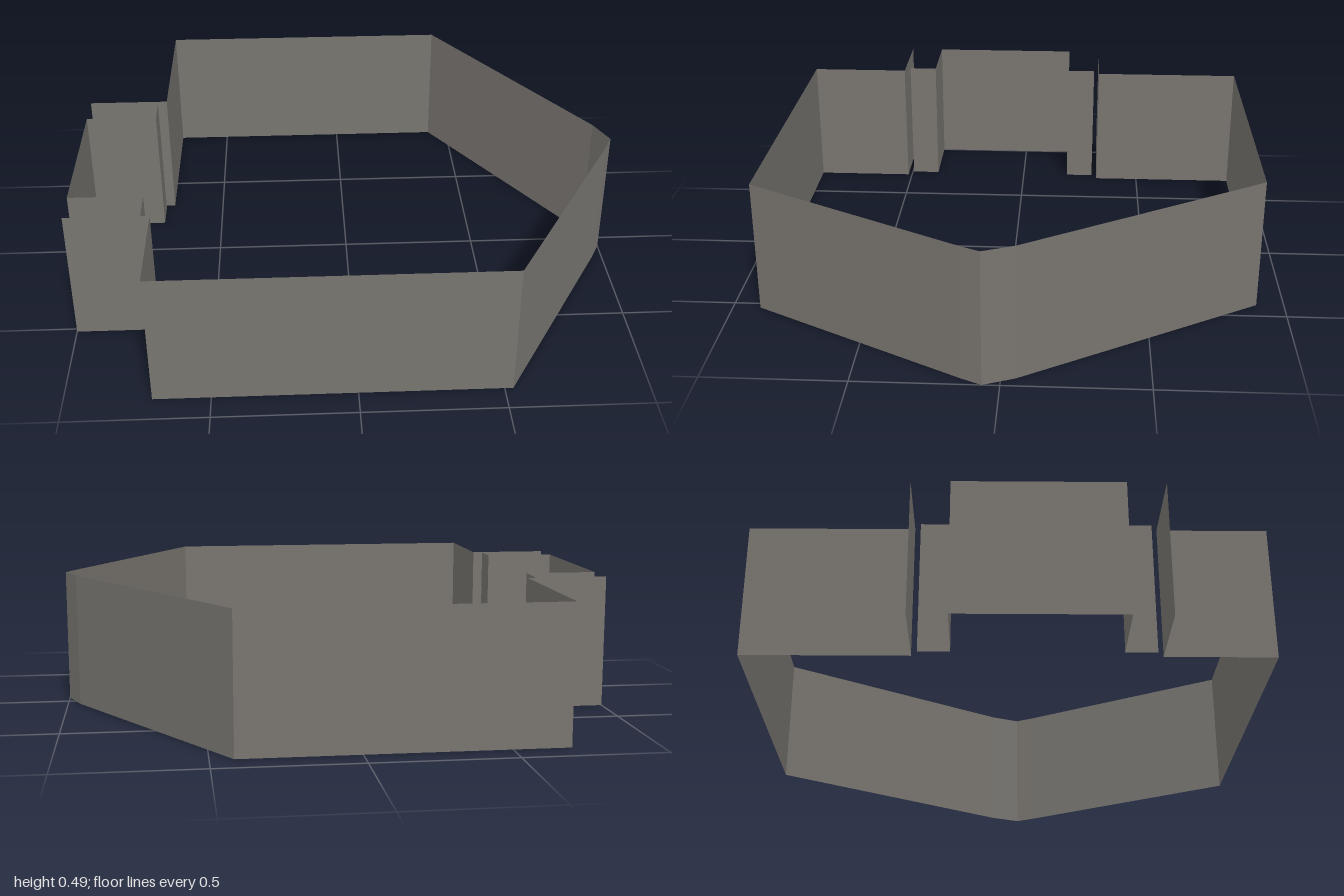
import * as THREE from 'three';

const HEIGHT = 0.49;

// Upright sheet following a plan path of [x, z] points, one flat panel per segment
function sheetWall(name, path, material) {
  const positions = [];
  for (let i = 0; i < path.length - 1; i++) {
    const [ax, az] = path[i];
    const [bx, bz] = path[i + 1];
    positions.push(ax, 0, az, bx, 0, bz, bx, HEIGHT, bz);
    positions.push(ax, 0, az, bx, HEIGHT, bz, ax, HEIGHT, az);
  }
  const geometry = new THREE.BufferGeometry();
  geometry.setAttribute('position', new THREE.Float32BufferAttribute(positions, 3));
  geometry.computeVertexNormals();
  const mesh = new THREE.Mesh(geometry, material);
  mesh.name = name;
  return mesh;
}

export function createModel() {
  const group = new THREE.Group();
  group.name = 'openWallRing';

  const grey = new THREE.MeshStandardMaterial({ color: 0x787570, side: THREE.DoubleSide });
  grey.name = 'warmGrey';

  // Main wall: runs from the front flap round the pointed side to the back flap
  group.add(sheetWall('outerWall', [
    [-0.7, 0.516], [-0.7, 0.9], [0.53, 0.9], [0.965, 0.13], [1, 0.06],
    [0.955, -0.05], [0.42, -0.9], [-0.7, -0.9], [-0.7, -0.324],
  ], grey));

  // Guide flaps beside the opening
  for (const [name, z] of [['frontFlap', 0.516], ['backFlap', -0.324]]) {
    group.add(sheetWall(name, [[-0.7, z], [-1, z]], grey));
  }

  // Separate bracket closing the opening, its hooked ends just short of the flaps
  group.add(sheetWall('closingBracket', [
    [-0.733, 0.495], [-0.733, 0.385], [-1, 0.385],
    [-1, -0.193], [-0.733, -0.193], [-0.733, -0.303],
  ], grey));

  return group;
}
